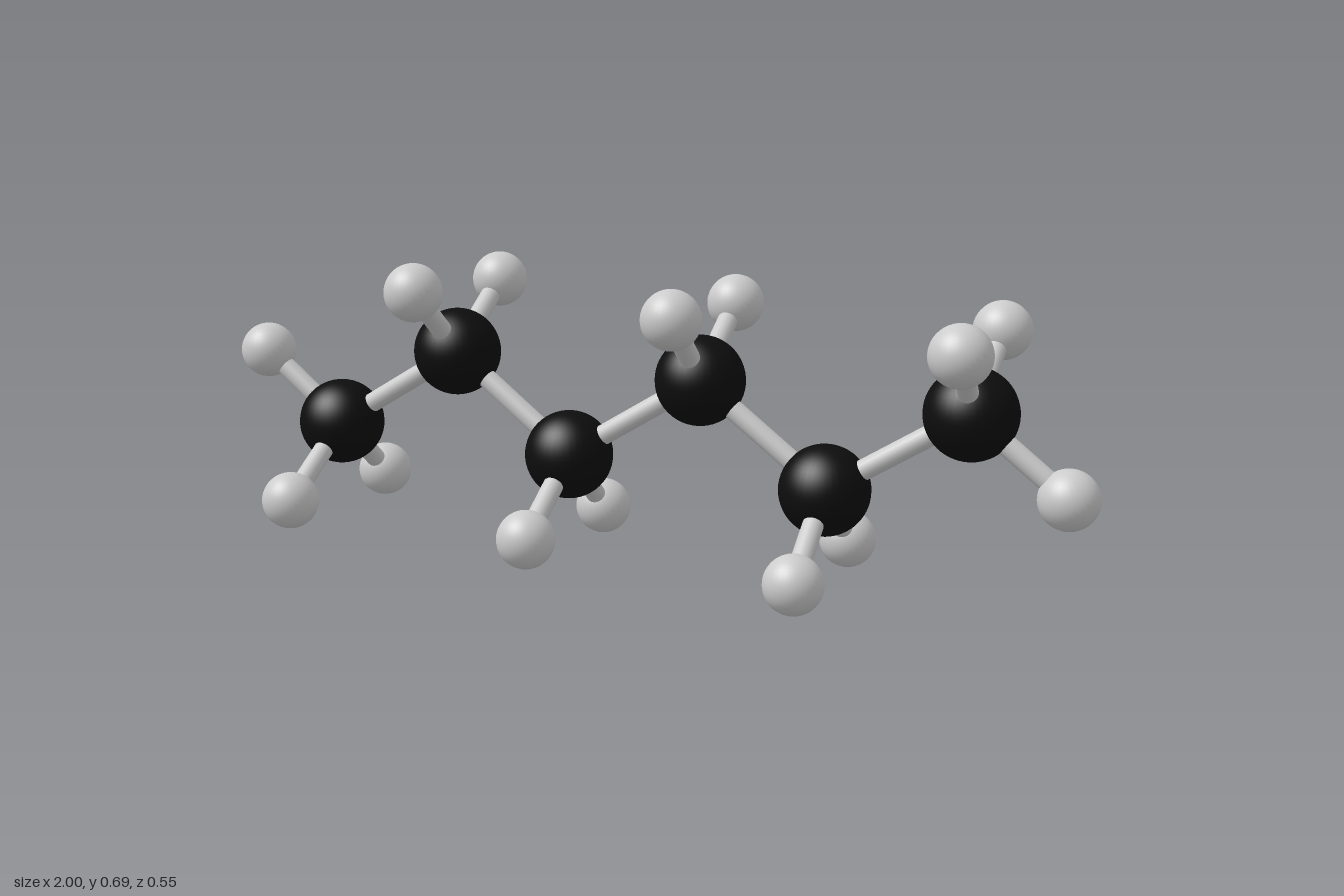
import * as THREE from 'three';

// Zigzag chain of large dark balls, each with the small balls bonded to it
const CHAIN = [
  { at: [-0.745, 0.293, -0.004], small: [[-0.937, 0.453, 0.002], [-0.757, 0.143, 0.204], [-0.754, 0.141, -0.211]] },
  { at: [-0.436, 0.473, -0.003], small: [[-0.431, 0.624, 0.203], [-0.43, 0.621, -0.208]] },
  { at: [-0.157, 0.257, 0.004], small: [[-0.164, 0.108, 0.214], [-0.162, 0.1, -0.198]] },
  { at: [0.15, 0.439, -0.002], small: [[0.162, 0.59, 0.203], [0.157, 0.587, -0.208]] },
  { at: [0.43, 0.221, -0.003], small: [[0.427, 0.065, 0.2], [0.424, 0.07, -0.212]] },
  { at: [0.735, 0.403, -0.001], small: [[0.936, 0.241, -0.003], [0.754, 0.547, 0.207], [0.754, 0.552, -0.206]] },
];

const BIG_RADIUS = 0.098;
const SMALL_RADIUS = 0.0635;
const ROD_RADIUS = 0.0225;

export function createModel() {
  const model = new THREE.Group();
  model.name = 'ballAndStickChain';

  const dark = new THREE.MeshStandardMaterial({ color: 0x0d0d0d });
  const grey = new THREE.MeshStandardMaterial({ color: 0xcccccc });
  const bigBall = new THREE.SphereGeometry(BIG_RADIUS, 40, 28);
  const smallBall = new THREE.SphereGeometry(SMALL_RADIUS, 32, 22);
  const rod = new THREE.CylinderGeometry(ROD_RADIUS, ROD_RADIUS, 1, 20);
  const up = new THREE.Vector3(0, 1, 0);

  const add = (name, geometry, material, position) => {
    const mesh = new THREE.Mesh(geometry, material);
    mesh.name = name;
    mesh.position.copy(position);
    model.add(mesh);
    return mesh;
  };

  // Rod spanning two ball centres
  const addRod = (name, a, b) => {
    const span = b.clone().sub(a);
    const mesh = add(name, rod, grey, a.clone().lerp(b, 0.5));
    mesh.scale.y = span.length();
    mesh.quaternion.setFromUnitVectors(up, span.normalize());
  };

  let previous = null;
  CHAIN.forEach(({ at, small }, i) => {
    const centre = new THREE.Vector3(...at);
    add(`largeBall${i + 1}`, bigBall, dark, centre);
    if (previous) addRod(`chainRod${i}`, previous, centre);
    small.forEach((p, j) => {
      const end = new THREE.Vector3(...p);
      add(`smallBall${i + 1}_${j + 1}`, smallBall, grey, end);
      addRod(`sideRod${i + 1}_${j + 1}`, centre, end);
    });
    previous = centre;
  });

  return model;
}
